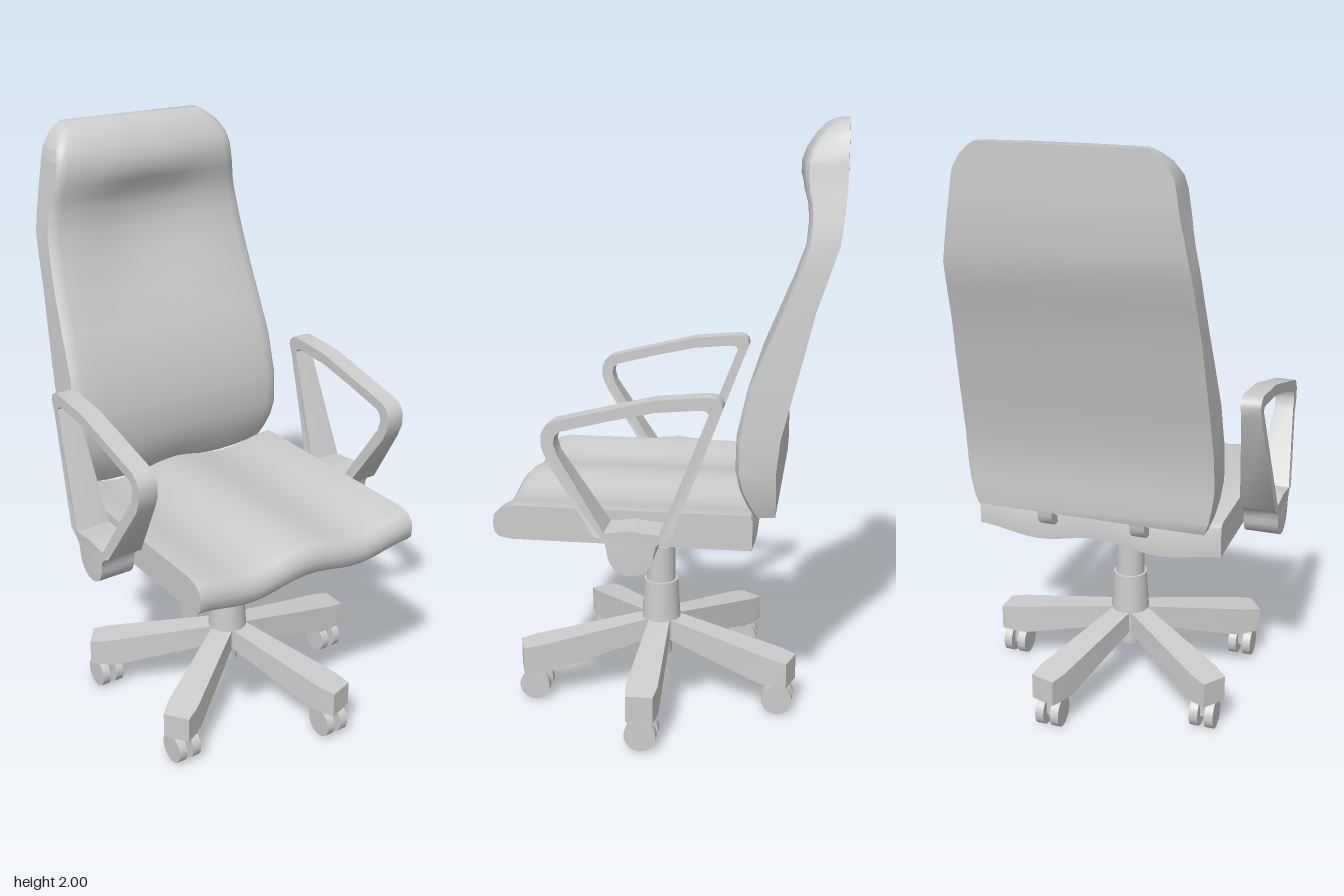
import * as THREE from 'three';
import { toCreasedNormals } from 'three/addons/utils/BufferGeometryUtils.js';

const material = new THREE.MeshStandardMaterial({ color: 0xcccccc });
const AXIS_Z = 0.066; // z of the swivel column
const { lerp, clamp } = THREE.MathUtils;

function add(parent, name, geometry, x = 0, y = 0, z = 0) {
  const mesh = new THREE.Mesh(geometry, material);
  mesh.name = name;
  mesh.position.set(x, y, z);
  parent.add(mesh);
  return mesh;
}

// Points of a closed loop, turned to the wanted direction
function loop(list, clockwise) {
  const points = list.map(([u, v]) => new THREE.Vector2(u, v));
  return THREE.ShapeUtils.isClockWise(points) === clockwise ? points : points.reverse();
}

// Side profile of [z, y] points, extruded along x and centred on x = 0.
// bend(vertex) may then move each vertex.
function sideExtrude(profile, width, { hole, steps = 1, bend, crease = 0.7 } = {}) {
  const shape = new THREE.Shape(loop(profile, false));
  if (hole) shape.holes.push(new THREE.Path(loop(hole, true)));
  const geo = new THREE.ExtrudeGeometry(shape, { depth: width, steps, bevelEnabled: false });
  geo.translate(0, 0, -width / 2).rotateY(-Math.PI / 2);
  if (bend) {
    const pos = geo.attributes.position, v = new THREE.Vector3();
    for (let i = 0; i < pos.count; i++) {
      bend(v.fromBufferAttribute(pos, i));
      pos.setXYZ(i, v.x, v.y, v.z);
    }
  }
  return toCreasedNormals(geo, crease);
}

// Two shallow troughs across the width of seat and backrest bottom
const trough = x => 0.014 * (1 - Math.cos(x * Math.PI * 2 / 0.43));

// Seat cushion with rounded nose
function seatGeometry() {
  const profile = [[0.49, 0.803], [0.525, 0.793], [0.545, 0.772], [0.55, 0.745], [0.547, 0.715],
    [0.53, 0.697], [0.49, 0.69], [-0.285, 0.687], [-0.287, 0.785], [-0.28, 0.798], [-0.265, 0.803]];
  return sideExtrude(profile, 0.845, { steps: 28, bend: v => { v.y -= trough(v.x); } });
}

// Backrest: loft of horizontal sections [y, half width, front z, back z]
function backrestGeometry() {
  const rows = [
    [0.79, 0.388, -0.285, -0.355], [0.83, 0.402, -0.262, -0.357], [0.88, 0.412, -0.24, -0.357],
    [0.94, 0.419, -0.227, -0.356], [1.05, 0.418, -0.229, -0.368], [1.2, 0.412, -0.262, -0.405],
    [1.32, 0.406, -0.312, -0.435], [1.445, 0.399, -0.364, -0.465], [1.55, 0.392, -0.402, -0.5],
    [1.64, 0.385, -0.428, -0.53], [1.71, 0.372, -0.434, -0.539], [1.76, 0.363, -0.427, -0.543],
    [1.8, 0.355, -0.408, -0.546], [1.84, 0.348, -0.4, -0.547], [1.88, 0.342, -0.401, -0.547],
    [1.92, 0.334, -0.416, -0.547], [1.96, 0.311, -0.442, -0.547], [1.985, 0.285, -0.468, -0.547],
    [2.0, 0.264, -0.492, -0.547]];
  const us = [-1, -0.97, -0.9, -0.7, -0.5, -0.35, -0.18, 0, 0.18, 0.35, 0.5, 0.7, 0.9, 0.97, 1];
  const n = us.length + 2, verts = [], index = [];
  rows.forEach(([y, w, front, back], r) => {
    // gentle hollow below the headrest, headrest swept back at its ends
    const hollow = 0.022 * Math.max(0, 1 - ((y - 1.62) / 0.22) ** 2);
    const sweep = 0.018 * clamp((y - 1.74) / 0.08, 0, 1);
    const sag = clamp((0.9 - y) / 0.1, 0, 1);
    for (const u of us) {
      const a = Math.abs(u);
      const edge = a === 1 ? 0.014 : a > 0.95 ? 0.004 : 0;
      const dip = hollow * Math.max(0, 1 - (a / 0.6) ** 2) + sweep * Math.max(0, (a - 0.35) / 0.65);
      verts.push(w * u, y - sag * trough(w * u) * 0.6, front - edge - dip);
    }
    verts.push(w, y, back, -w, y, back);
    if (r === 0) return;
    for (let i = 0; i < n; i++) {
      const a = (r - 1) * n + i, b = (r - 1) * n + (i + 1) % n;
      index.push(a, b, b + n, a, b + n, a + n);
    }
  });
  const top = (rows.length - 1) * n;
  for (let i = 1; i < n - 1; i++) {
    index.push(n - 1, n - 1 - i, n - 2 - i);
    index.push(top + n - 1, top + i - 1, top + i);
  }
  const geo = new THREE.BufferGeometry();
  geo.setAttribute('position', new THREE.Float32BufferAttribute(verts, 3));
  geo.setIndex(index);
  return toCreasedNormals(geo, 0.75);
}

// Armrest: closed loop on a round hub, widening towards the hub
function armrestGeometry() {
  const outer = [[-0.05, 0.77], [-0.185, 1.13], [-0.2, 1.17], [-0.195, 1.188], [-0.18, 1.2], [-0.155, 1.204],
    [0.005, 1.19], [0.15, 1.155], [0.325, 1.112], [0.347, 1.095], [0.359, 1.07], [0.358, 1.03], [0.34, 0.985],
    [0.2, 0.765], [0.175, 0.752], [0.158, 0.735]];
  for (let i = 0; i <= 12; i++) {
    const t = -i * Math.PI / 12;
    outer.push([0.08 + 0.073 * Math.cos(t), 0.708 + 0.073 * Math.sin(t)]);
  }
  outer.push([0.0, 0.735], [-0.02, 0.752]);
  const hole = [[-0.01, 0.772], [-0.15, 1.13], [-0.158, 1.15], [-0.15, 1.162], [-0.13, 1.164], [0.005, 1.152],
    [0.15, 1.12], [0.3, 1.082], [0.315, 1.068], [0.32, 1.045], [0.31, 1.01], [0.162, 0.772],
    [0.12, 0.776], [0.08, 0.782], [0.04, 0.776]];
  const bend = v => { v.x *= lerp(0.06, 0.033, clamp((v.y - 0.785) / 0.2, 0, 1)); };
  return sideExtrude(outer, 2, { hole, bend });
}

// Leg: slopes down, widens from the hub and narrows at its tip (pointing to +z)
function legGeometry() {
  const profile = [[0, 0.275], [0.06, 0.27], [0.44, 0.207], [0.497, 0.197], [0.497, 0.107],
    [0.44, 0.107], [0.4, 0.107], [0.05, 0.195], [0, 0.2]];
  const bend = v => { v.x *= v.z > 0.45 ? 0.045 : lerp(0.035, 0.053, v.z / 0.44); };
  return sideExtrude(profile, 2, { bend, crease: 0.3 });
}

// Twin-wheel caster rolling along z
function caster() {
  const group = new THREE.Group();
  group.name = 'caster';
  const wheel = new THREE.CylinderGeometry(0.053, 0.053, 0.03, 28).rotateZ(Math.PI / 2);
  for (const s of [-1, 1]) add(group, 'casterWheel', wheel, s * 0.027, 0.053, 0);
  add(group, 'casterStem', new THREE.BoxGeometry(0.026, 0.075, 0.035), 0, 0.0775, 0);
  return group;
}

export function createModel() {
  const model = new THREE.Group();
  model.name = 'officeChair';

  add(model, 'seat', seatGeometry(), -0.004);
  add(model, 'backrest', backrestGeometry());

  // Brackets joining seat and backrest
  const hook = sideExtrude([[-0.27, 0.73], [-0.31, 0.73], [-0.332, 0.745], [-0.34, 0.77], [-0.345, 0.84],
    [-0.315, 0.84], [-0.312, 0.775], [-0.297, 0.757], [-0.27, 0.755]], 0.05);
  const arm = armrestGeometry();
  for (const s of [-1, 1]) {
    add(model, 'backBracket', hook, s * 0.16);
    add(model, 'armrest', arm, s * 0.487);
  }

  // Tapered mounting plate under the seat
  const plate = sideExtrude([[0.235, 0.695], [0.235, 0.655], [0.205, 0.63], [-0.015, 0.63], [-0.035, 0.655], [-0.035, 0.695]], 2,
    { bend: v => { v.x *= lerp(0.043, 0.066, (v.y - 0.63) / 0.065); }, crease: 0.2 });
  add(model, 'mountingPlate', plate);

  // Telescopic column: [name, top radius, bottom radius, bottom y, top y]
  for (const [name, rTop, rBottom, y0, y1] of [
    ['gasLift', 0.037, 0.037, 0.5, 0.64],
    ['columnMiddle', 0.051, 0.051, 0.38, 0.54],
    ['columnSleeve', 0.06, 0.069, 0.26, 0.41],
    ['hub', 0.069, 0.069, 0.2, 0.272],
    ['columnTip', 0.037, 0.037, 0.127, 0.25]]) {
    add(model, name, new THREE.CylinderGeometry(rTop, rBottom, y1 - y0, 28), 0, (y0 + y1) / 2, AXIS_Z);
  }

  // Five-legged base
  const leg = legGeometry();
  for (let i = 0; i < 5; i++) {
    const angle = Math.PI / 10 + i * Math.PI * 2 / 5;
    add(model, 'baseLeg', leg, 0, 0, AXIS_Z).rotation.y = angle;
    const wheels = caster();
    wheels.position.set(0.448 * Math.sin(angle), 0, AXIS_Z + 0.448 * Math.cos(angle));
    model.add(wheels);
  }
  return model;
}
